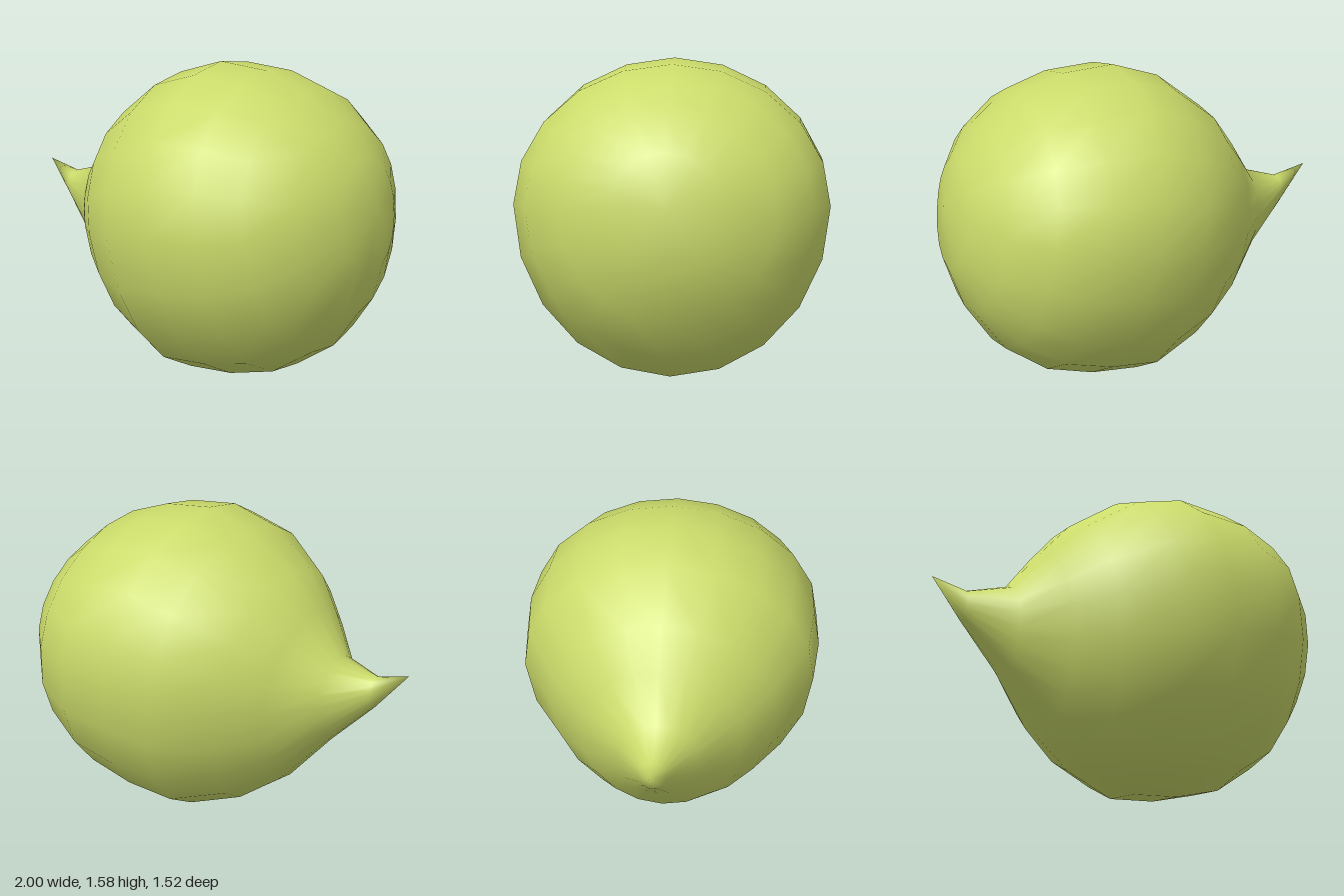
import * as THREE from 'three';

// Tilted cross-sections from the pointed end to the round end:
// [top x, top y, bottom x, bottom y, half width]
const SECTIONS = [
  [-0.83, 0.885, -0.83, 0.73, 0.065],
  [-0.63, 0.945, -0.60, 0.50, 0.195],
  [-0.49, 1.15, -0.37, 0.24, 0.40],
  [-0.36, 1.32, -0.17, 0.095, 0.56],
  [-0.12, 1.50, 0.10, 0.0, 0.735],
  [0.12, 1.575, 0.35, 0.025, 0.762],
  [0.38, 1.555, 0.59, 0.095, 0.75],
  [0.60, 1.485, 0.79, 0.24, 0.66],
  [0.79, 1.345, 0.92, 0.44, 0.49],
  [0.91, 1.20, 1.00, 0.67, 0.26],
];
const SIDES = 20;
const WIDEST = 0.45; // where each section is widest, as a fraction from top to bottom

function loftGeometry() {
  const positions = [-1, 0.93, 0]; // pointed tip
  const index = [];

  // each ring is two half ellipses joined at the widest line
  for (const [tx, ty, bx, by, w] of SECTIONS) {
    for (let j = 0; j < SIDES; j++) {
      const a = (j / SIDES) * Math.PI * 2;
      const c = Math.cos(a);
      const f = c > 0 ? WIDEST * (1 - c) : WIDEST - (1 - WIDEST) * c;
      positions.push(tx + (bx - tx) * f, ty + (by - ty) * f, w * Math.sin(a));
    }
  }
  const pole = positions.length / 3;
  positions.push(1, 0.97, 0); // round end

  const at = (i, j) => 1 + i * SIDES + (j % SIDES);
  const last = SECTIONS.length - 1;
  for (let j = 0; j < SIDES; j++) {
    index.push(0, at(0, j + 1), at(0, j));
    for (let i = 0; i < last; i++) {
      const a = at(i, j), b = at(i, j + 1), c = at(i + 1, j), d = at(i + 1, j + 1);
      index.push(a, b, c, b, d, c);
    }
    index.push(at(last, j), at(last, j + 1), pole);
  }

  const geometry = new THREE.BufferGeometry();
  geometry.setAttribute('position', new THREE.Float32BufferAttribute(positions, 3));
  geometry.setIndex(index);
  geometry.computeVertexNormals();
  return geometry;
}

export function createModel() {
  const group = new THREE.Group();
  group.name = 'pointedBulb';
  const body = new THREE.Mesh(
    loftGeometry(),
    new THREE.MeshStandardMaterial({ color: 0xcbdb6a })
  );
  body.name = 'body';
  group.add(body);
  return group;
}
